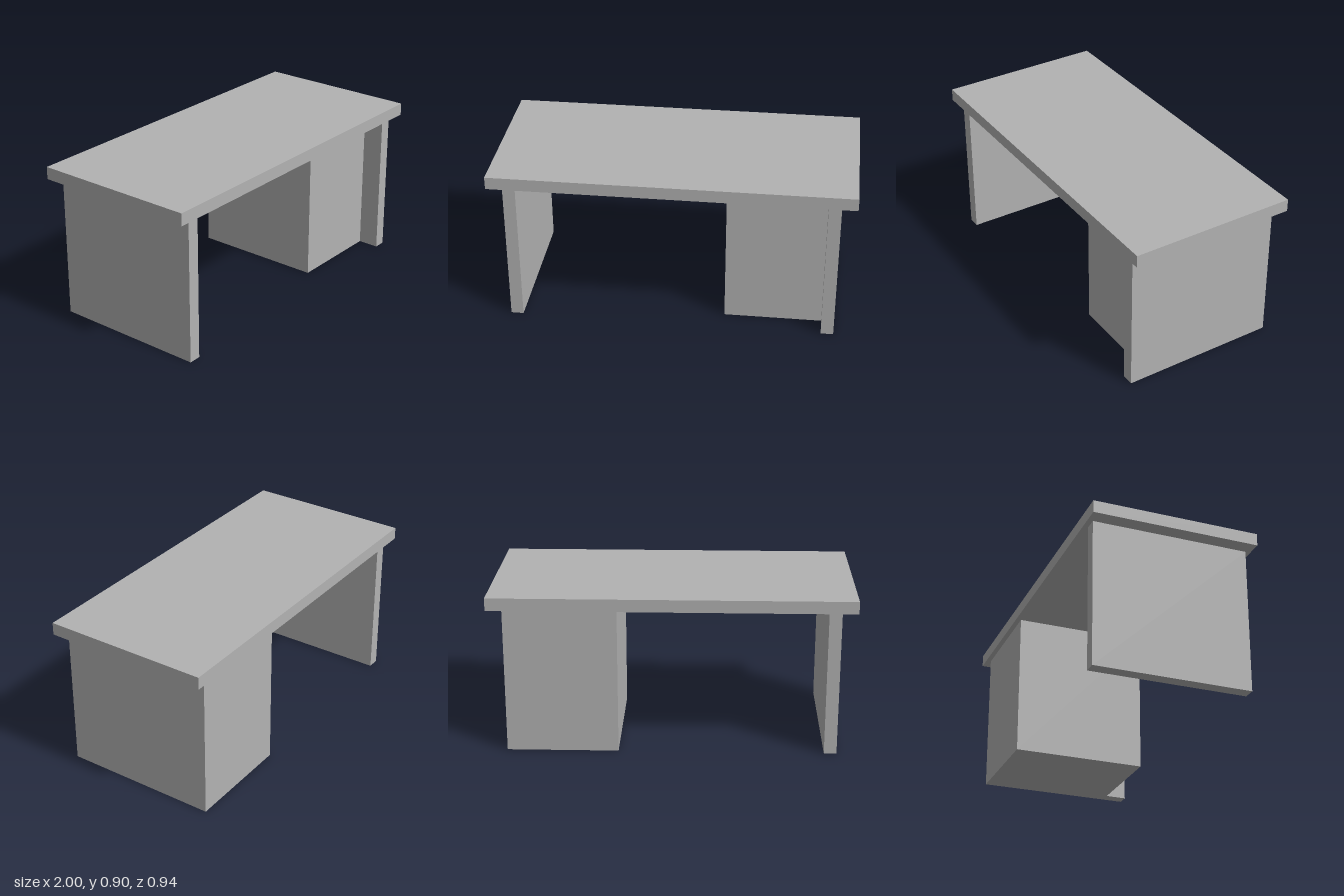
import * as THREE from 'three';

export function createModel() {
  const desk = new THREE.Group();
  desk.name = 'desk';

  const grey = new THREE.MeshStandardMaterial({ color: 0xb2b2b2 });
  grey.name = 'plain grey';

  // Box given by its low and high corners
  function slab(name, [x0, y0, z0], [x1, y1, z1]) {
    const mesh = new THREE.Mesh(new THREE.BoxGeometry(x1 - x0, y1 - y0, z1 - z0), grey);
    mesh.position.set((x0 + x1) / 2, (y0 + y1) / 2, (z0 + z1) / 2);
    mesh.name = name;
    desk.add(mesh);
    return mesh;
  }

  const underside = 0.826, depth = 0.441;
  const panelIn = 0.845, panelOut = 0.915;

  // Worktop overhanging on all sides
  slab('worktop', [-1, underside, -0.47], [1, 0.896, 0.47]);

  // Full-depth side panels
  slab('leftPanel', [panelIn, 0, -depth], [panelOut, underside, depth]);
  slab('rightPanel', [-panelOut, 0, -depth], [-panelIn, underside, depth]);

  // Cabinet against the left panel, flush at the back and set back at the front
  slab('cabinet', [0.295, 0, -depth], [panelIn, underside, 0.32]);

  return desk;
}
